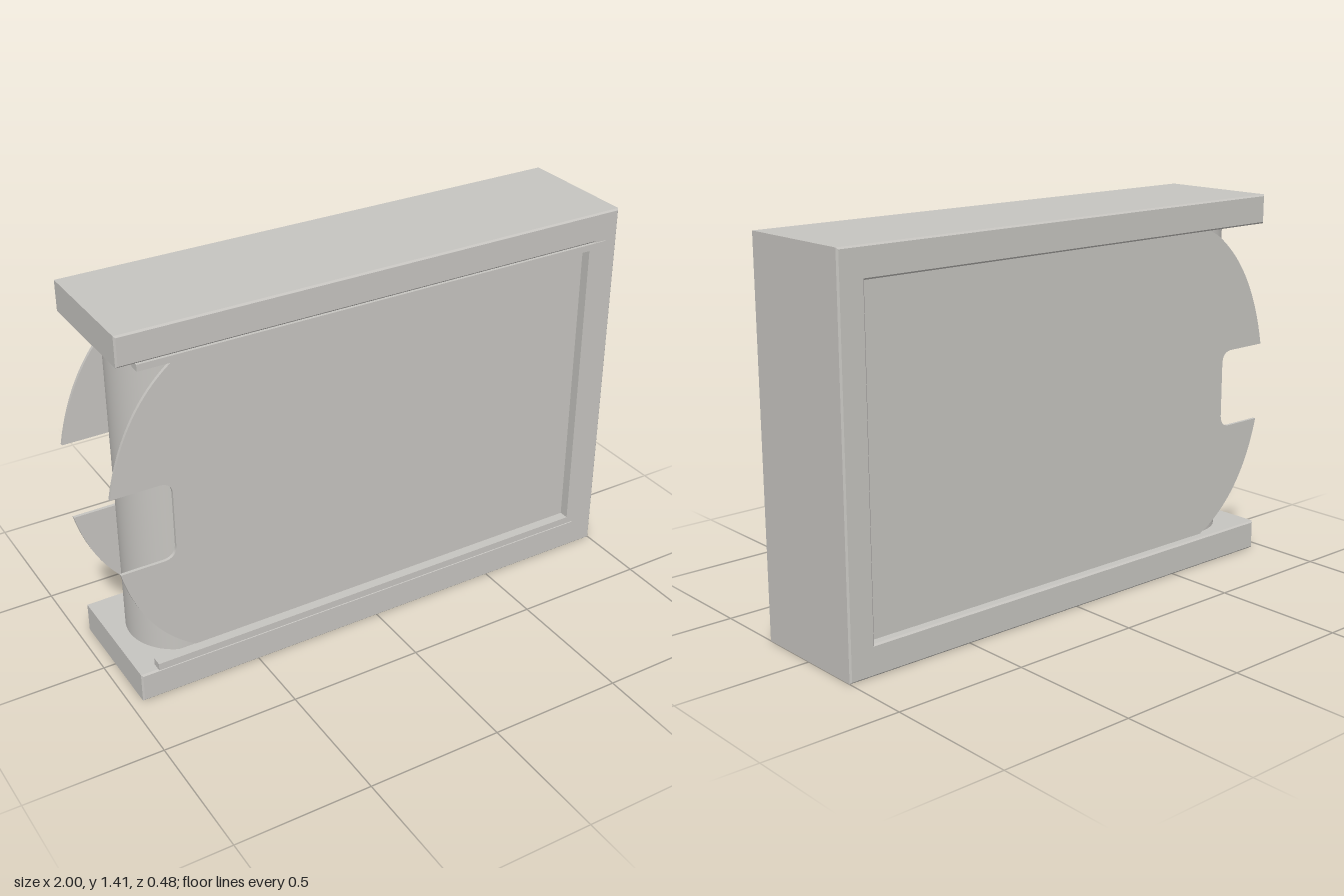
import * as THREE from 'three';

const grey = new THREE.MeshStandardMaterial({ color: 0xc6c4c0 });
grey.name = 'pale grey';

// Extrude a shape so that it fills z0..z1, with an optional small bevel
function slab(name, shape, z0, z1, bevel = 0) {
  const geo = new THREE.ExtrudeGeometry(shape, {
    depth: z1 - z0 - 2 * bevel, curveSegments: 24,
    bevelEnabled: bevel > 0, bevelSize: bevel, bevelThickness: bevel,
    bevelOffset: -bevel, bevelSegments: 1,
  });
  geo.translate(0, 0, z0 + bevel);
  const mesh = new THREE.Mesh(geo, grey);
  mesh.name = name;
  return mesh;
}

// U shape open towards -x
function channel(left, right, bottom, top, innerRight, innerBottom, innerTop) {
  return new THREE.Shape([
    [left, bottom], [right, bottom], [right, top], [left, top],
    [left, innerTop], [innerRight, innerTop], [innerRight, innerBottom], [left, innerBottom],
  ].map(([x, y]) => new THREE.Vector2(x, y)));
}

// Side plate with a curved, notched free end
function plateShape() {
  const s = new THREE.Shape();
  s.moveTo(0.92, 0.113);
  s.lineTo(0.92, 1.303);
  s.lineTo(-0.68, 1.303);
  s.lineTo(-0.73, 1.28);
  s.quadraticCurveTo(-0.94, 1.14, -1, 0.825);
  s.lineTo(-0.83, 0.825);
  s.quadraticCurveTo(-0.78, 0.825, -0.78, 0.775);
  s.lineTo(-0.78, 0.575);
  s.quadraticCurveTo(-0.78, 0.525, -0.83, 0.525);
  s.lineTo(-0.985, 0.525);
  s.quadraticCurveTo(-0.92, 0.26, -0.73, 0.14);
  s.lineTo(-0.68, 0.113);
  return s;
}

export function createModel() {
  const model = new THREE.Group();
  model.name = 'slidingCase';

  // Outer frame: top, bottom and one closed end
  model.add(slab('frame', channel(-0.955, 1, 0, 1.415, 0.9, 0.112, 1.305), -0.24, 0.24, 0.006));

  // Raised rim around the front opening
  model.add(slab('frontRim', channel(-0.89, 0.945, 0.113, 1.304, 0.875, 0.14, 1.28), 0.205, 0.244));

  // Front and back plates
  model.add(slab('frontPlate', plateShape(), 0.195, 0.207));
  model.add(slab('backPlate', plateShape(), -0.207, -0.195));

  // Inner block with a half-round end
  const core = new THREE.Mesh(new THREE.BoxGeometry(1.61, 1.2, 0.38), grey);
  core.name = 'innerBlock';
  core.position.set(0.105, 0.7085, 0);
  model.add(core);
  const round = new THREE.Mesh(
    new THREE.CylinderGeometry(0.19, 0.19, 1.2, 48, 1, true, Math.PI, Math.PI), grey);
  round.name = 'roundedEnd';
  round.position.set(-0.7, 0.7085, 0);
  model.add(round);

  return model;
}
